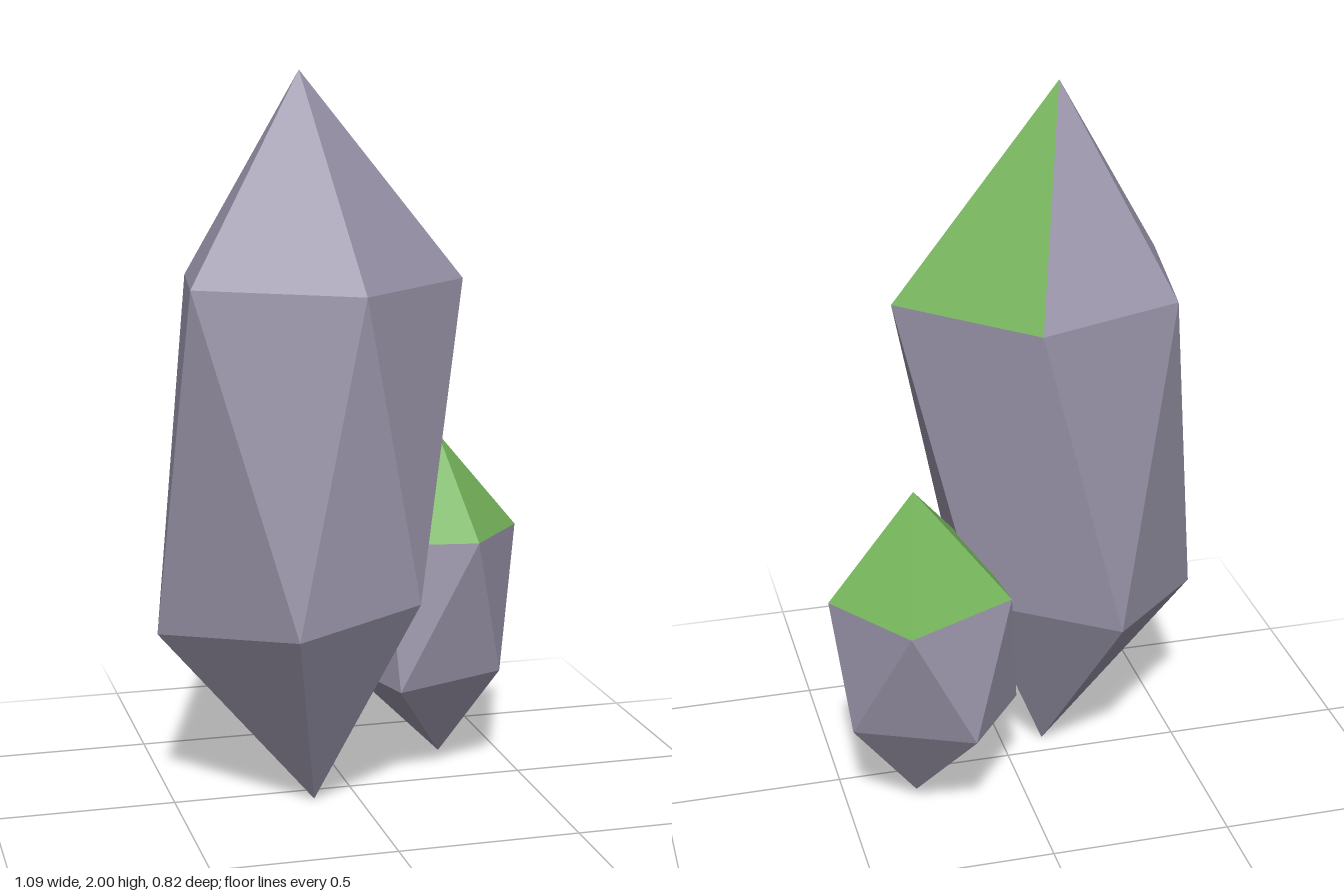
import * as THREE from 'three';

const stone = new THREE.MeshStandardMaterial({ color: 0x9a95aa, flatShading: true });
stone.name = 'grey stone';
const moss = new THREE.MeshStandardMaterial({ color: 0x74b35a, flatShading: true });
moss.name = 'green moss';

function facetMesh(name, triangles, material) {
  const geometry = new THREE.BufferGeometry();
  geometry.setAttribute('position', new THREE.Float32BufferAttribute(triangles.flat(2), 3));
  geometry.computeVertexNormals();
  const mesh = new THREE.Mesh(geometry, material);
  mesh.name = name;
  return mesh;
}

// Crystal from a tip, two staggered five-point rings and a foot;
// lower[i] sits between upper[i] and upper[i + 1]
function crystal(name, { tip, upper, lower, foot, mossy }) {
  const n = upper.length;
  const body = [], cap = [];
  for (let i = 0; i < n; i++) {
    const next = (i + 1) % n, prev = (i + n - 1) % n;
    (mossy.includes(i) ? cap : body).push([tip, upper[next], upper[i]]);
    body.push(
      [upper[i], upper[next], lower[i]],
      [upper[i], lower[i], lower[prev]],
      [foot, lower[i], lower[next]],
    );
  }
  const group = new THREE.Group();
  group.name = name;
  group.add(facetMesh(name + 'Body', body, stone), facetMesh(name + 'Moss', cap, moss));
  return group;
}

export function createModel() {
  const model = new THREE.Group();
  model.name = 'crystalRocks';

  // Tall crystal, mossy on one facet of the tip
  model.add(crystal('tallCrystal', {
    tip: [-0.155, 2, 0.07],
    upper: [[-0.02, 1.435, -0.285], [0.31, 1.435, 0.03], [-0.05, 1.44, 0.367], [-0.48, 1.455, 0.23], [-0.42, 1.445, -0.165]],
    lower: [[0.12, 0.59, -0.12], [0.115, 0.605, 0.305], [-0.24, 0.555, 0.41], [-0.545, 0.495, 0.03], [-0.255, 0.53, -0.27]],
    foot: [-0.12, 0, 0.07],
    mossy: [0],
  }));

  // Short crystal with a fully mossy tip
  model.add(crystal('shortCrystal', {
    tip: [0.298, 0.97, -0.147],
    upper: [[0.365, 0.675, -0.413], [0.542, 0.685, -0.18], [0.34, 0.71, 0.11], [0.1, 0.697, 0.02], [0.06, 0.68, -0.275]],
    lower: [[0.497, 0.31, -0.243], [0.44, 0.305, 0], [0.125, 0.29, 0.085], [0.02, 0.31, -0.17], [0.19, 0.325, -0.403]],
    foot: [0.305, 0.03, -0.145],
    mossy: [0, 1, 2, 3, 4],
  }));
  return model;
}
